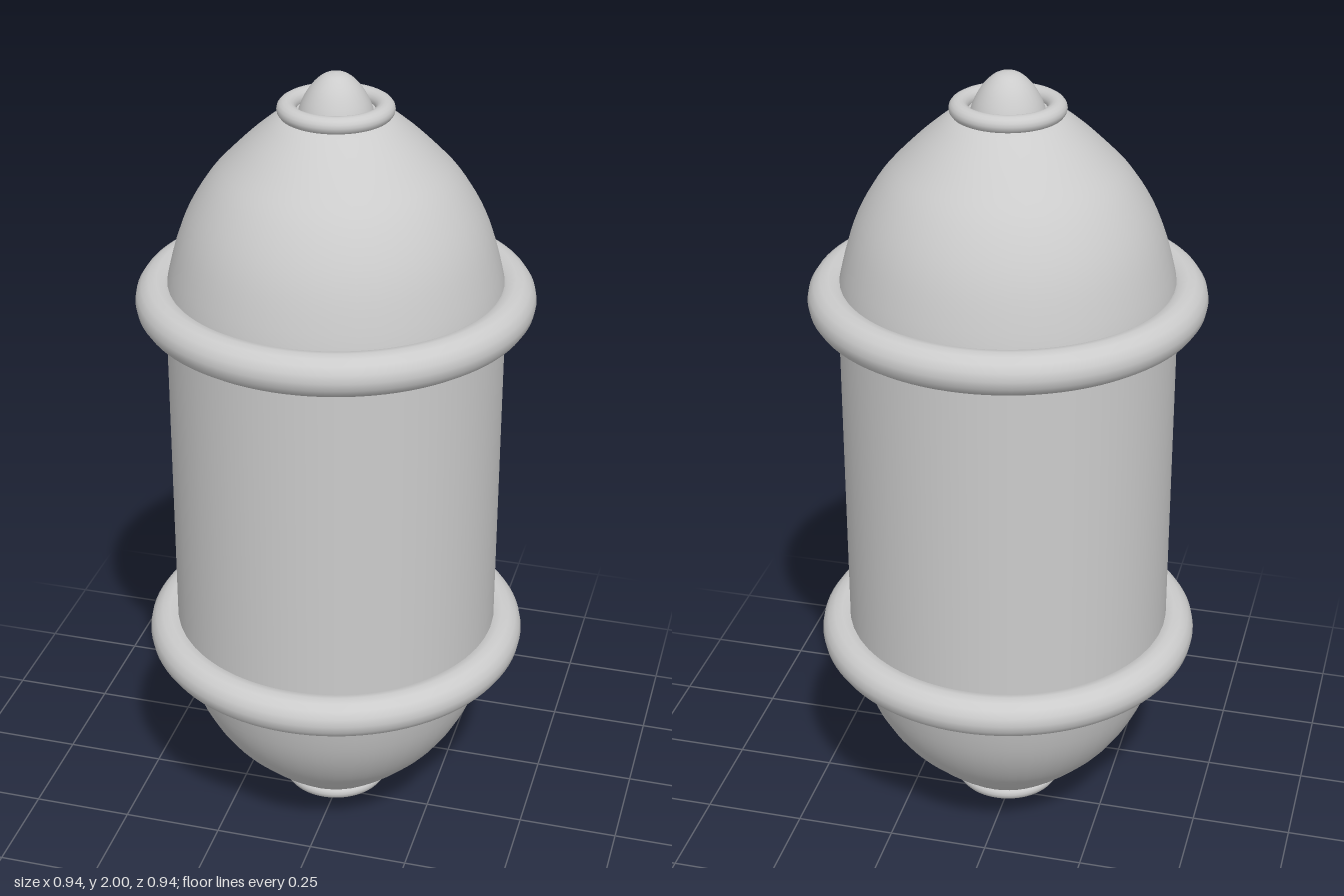
import * as THREE from 'three';

const SEGMENTS = 48;
const material = new THREE.MeshStandardMaterial({ color: 0xcccccc });

function part(name, geometry, y = 0) {
  const mesh = new THREE.Mesh(geometry, material);
  mesh.name = name;
  mesh.position.y = y;
  return mesh;
}

// Smooth surface of revolution through a few [radius, height] points
function turned(points, divisions) {
  const curve = new THREE.SplineCurve(points.map(([r, y]) => new THREE.Vector2(r, y)));
  const profile = curve.getPoints(divisions);
  profile.forEach((p) => { p.x = Math.max(p.x, 0); });
  return new THREE.LatheGeometry(profile, SEGMENTS);
}

// Horizontal ring
function ring(radius, tube) {
  return new THREE.TorusGeometry(radius, tube, 16, SEGMENTS * 2).rotateX(Math.PI / 2);
}

// One end cap, heights measured from the middle of the body
function createEnd(name) {
  const end = new THREE.Group();
  end.name = name;
  end.add(
    part('dome', turned([
      [0.4, 0.45], [0.392, 0.51], [0.367, 0.605], [0.335, 0.68], [0.29, 0.75],
      [0.237, 0.807], [0.18, 0.86], [0.125, 0.9], [0.06, 0.915], [0, 0.92],
    ], 28)),
    part('largeRing', ring(0.42, 0.05), 0.456),
    part('smallRing', ring(0.112, 0.0225).scale(1, 0.9, 1), 0.914),
    part('finial', turned([
      [0.088, 0.9], [0.077, 0.932], [0.056, 0.967], [0.028, 0.992], [0, 0.998],
    ], 14)),
  );
  return end;
}

export function createModel() {
  const model = new THREE.Group();
  model.name = 'capsule';

  // Straight middle section
  model.add(part('body', new THREE.CylinderGeometry(0.4, 0.4, 0.92, SEGMENTS, 1, true), 1.002));

  // Matching ends, the lower one turned upside down
  const top = createEnd('topEnd');
  const bottom = createEnd('bottomEnd');
  bottom.rotation.x = Math.PI;
  top.position.y = bottom.position.y = 1.002;
  model.add(top, bottom);
  return model;
}
